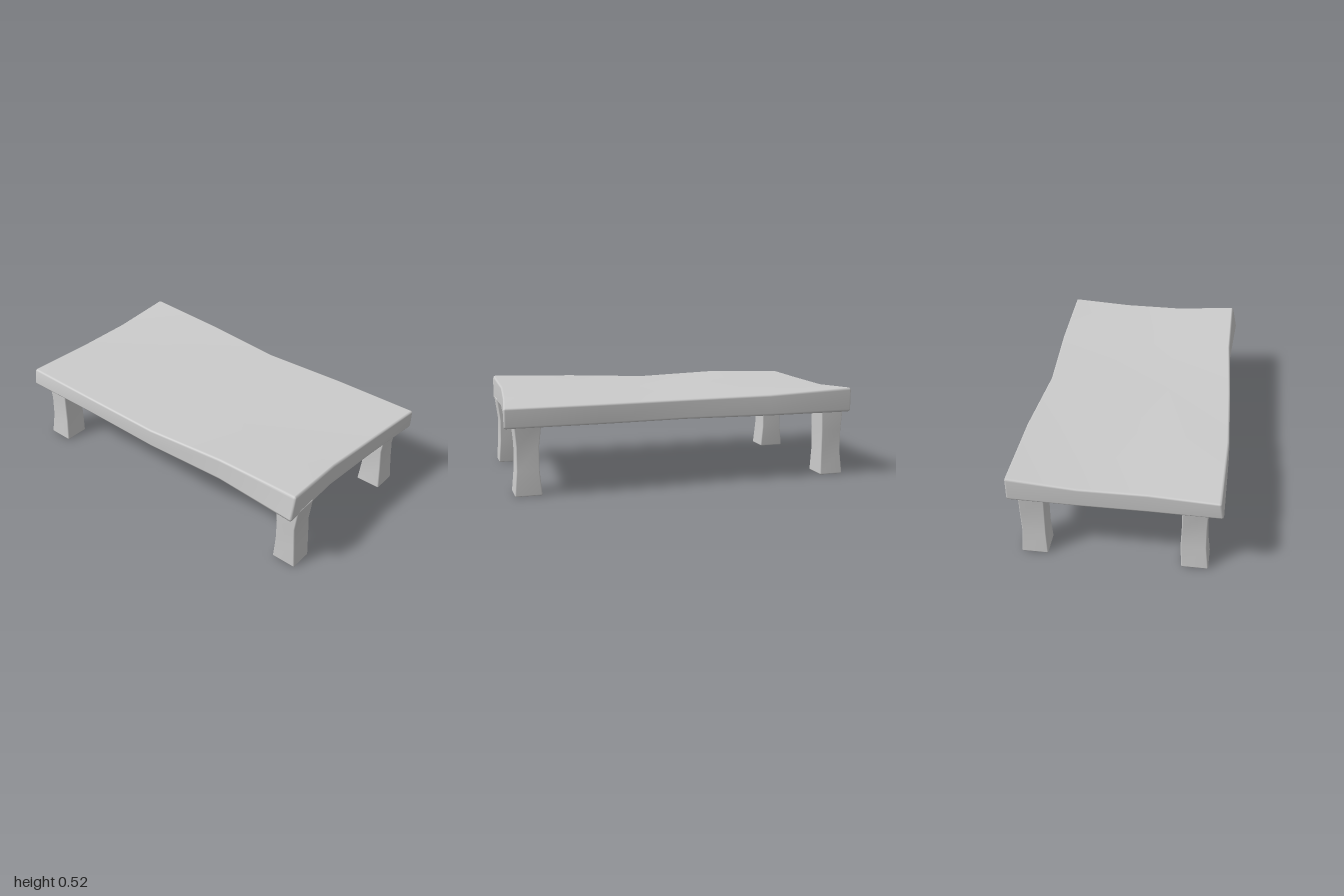
import * as THREE from 'three';
import { mergeVertices } from 'three/addons/utils/BufferGeometryUtils.js';

// Linear interpolation through evenly spaced values, t from 0 to 1
function sample(values, t) {
  const p = THREE.MathUtils.clamp(t, 0, 1) * (values.length - 1);
  const i = Math.min(Math.floor(p), values.length - 2);
  return THREE.MathUtils.lerp(values[i], values[i + 1], p - i);
}

// Box with softened edges; size and spans are [x, y, z], and warp(u, v, w)
// turns the 0..1 box coordinates into a point
function softBox(size, spans, bevel, warp) {
  let geo = new THREE.BoxGeometry(1, 1, 1, ...spans.map((n) => n + 2));
  geo.deleteAttribute('normal');
  geo.deleteAttribute('uv');
  geo = mergeVertices(geo, 1e-4);
  const pos = geo.attributes.position;
  for (let i = 0; i < pos.count; i++) {
    const p = pos.getX(i) !== undefined ? [pos.getX(i), pos.getY(i), pos.getZ(i)] : [];
    const out = p.map((c) => (Math.abs(c) > 0.499 ? Math.sign(c) : 0));
    const len = Math.hypot(...out);
    const uvw = p.map((c, a) => {
      const b = bevel / size[a];
      const step = Math.round((c + 0.5) * (spans[a] + 2)) - 1;
      const inner = THREE.MathUtils.clamp(step / spans[a], 0, 1);
      return b + inner * (1 - 2 * b) + (out[a] * b) / len;
    });
    pos.setXYZ(i, ...warp(...uvw));
  }
  geo.computeVertexNormals();
  return geo;
}

const lerp = THREE.MathUtils.lerp;

export function createModel() {
  const group = new THREE.Group();
  const material = new THREE.MeshStandardMaterial({ color: 0xcccccc });
  const add = (name, geometry) => {
    const mesh = new THREE.Mesh(geometry, material);
    mesh.name = name;
    group.add(mesh);
  };

  // Uneven slab: heights run left to right in x, rows run from back to front
  const topHeights = [
    [0.516, 0.495, 0.485, 0.485, 0.485],
    [0.487, 0.487, 0.483, 0.484, 0.485],
    [0.489, 0.494, 0.483, 0.493, 0.499],
    [0.487, 0.5, 0.485, 0.511, 0.525],
  ];
  const frontUnderside = [0.39, 0.4, 0.375, 0.375, 0.375];
  const backZ = [-0.565, -0.565, -0.532, -0.558, -0.565];
  const frontTopZ = [0.54, 0.555, 0.54, 0.515, 0.515];
  const frontBottomZ = [0.558, 0.56, 0.542, 0.518, 0.547];
  const minX = [-0.98, -0.982, -0.98, -1];
  const maxX = [1, 0.962, 0.935, 0.945];
  add('tabletop', softBox([1.96, 0.11, 1.1], [4, 1, 3], 0.012, (u, v, w) => {
    const frontZ = lerp(sample(frontBottomZ, u), sample(frontTopZ, u), v);
    const top = sample(topHeights.map((row) => sample(row, u)), w);
    const bottom = lerp(0.375, sample(frontUnderside, u), Math.max(0, w * 3 - 2));
    return [
      lerp(sample(minX, w), sample(maxX, w), u),
      lerp(bottom, top, v),
      lerp(sample(backZ, u), frontZ, w),
    ];
  }));

  // Crooked legs: side positions from foot to top
  const legs = {
    frontRightLeg: {
      x0: [-0.972, -0.955, -0.95, -0.967], x1: [-0.82, -0.829, -0.829, -0.823],
      z0: [0.35, 0.342, 0.345, 0.345], z1: [0.495, 0.48, 0.477, 0.48],
    },
    frontLeftLeg: {
      x0: [0.798, 0.808, 0.812, 0.8], x1: [0.94, 0.93, 0.927, 0.945],
      z0: [0.348, 0.34, 0.345, 0.346], z1: [0.478, 0.475, 0.48, 0.482],
    },
    backRightLeg: {
      x0: [-0.965, -0.952, -0.95, -0.962], x1: [-0.825, -0.83, -0.828, -0.823],
      z0: [-0.515, -0.505, -0.51, -0.508], z1: [-0.368, -0.376, -0.375, -0.37],
    },
    backLeftLeg: {
      x0: [0.8, 0.812, 0.81, 0.795], x1: [0.947, 0.935, 0.932, 0.945],
      z0: [-0.513, -0.508, -0.497, -0.51], z1: [-0.37, -0.38, -0.37, -0.375],
    },
  };
  for (const [name, { x0, x1, z0, z1 }] of Object.entries(legs)) {
    add(name, softBox([0.14, 0.4, 0.14], [1, 3, 1], 0.007, (u, v, w) => [
      lerp(sample(x0, v), sample(x1, v), u),
      v * 0.4,
      lerp(sample(z0, v), sample(z1, v), w),
    ]));
  }
  return group;
}
